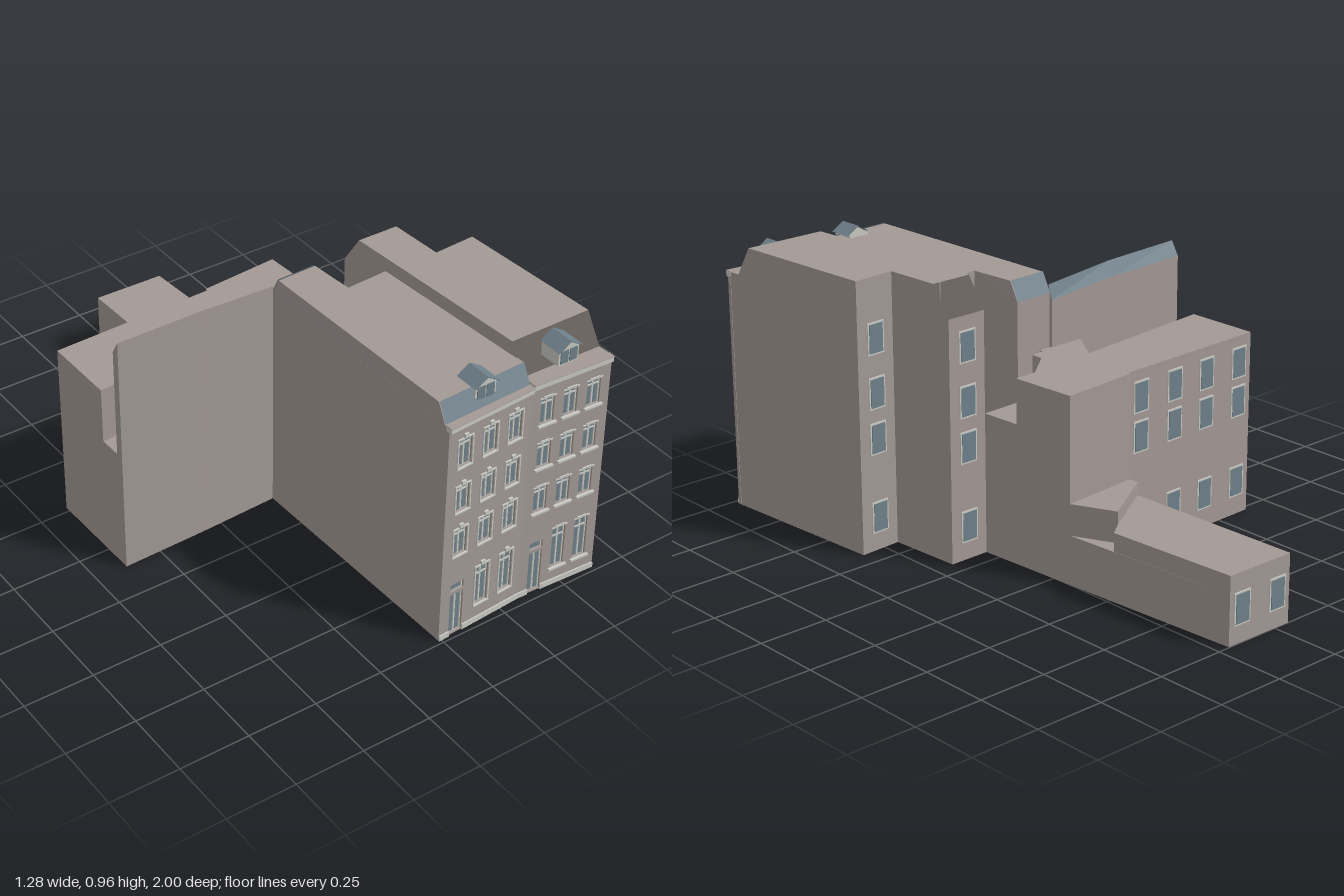
import * as THREE from 'three';

export function createModel() {
  const mat = (name, color) => {
    const m = new THREE.MeshStandardMaterial({ color, side: THREE.DoubleSide });
    m.name = name;
    return m;
  };
  const wall = mat('brownWall', 0xa39995);
  const light = mat('paleStone', 0xc9cac3);
  const slate = mat('slateBlue', 0x6f808a);

  const root = new THREE.Group();
  root.name = 'townhouses';
  const add = (parent, name, geo, m) => {
    const mesh = new THREE.Mesh(geo, m);
    mesh.name = name;
    parent.add(mesh);
    return mesh;
  };
  const section = (name) => {
    const g = new THREE.Group();
    g.name = name;
    root.add(g);
    return g;
  };
  const box = (p, name, x0, x1, y0, y1, z0, z1, m) =>
    add(p, name, new THREE.BoxGeometry(x1 - x0, y1 - y0, z1 - z0)
      .translate((x0 + x1) / 2, (y0 + y1) / 2, (z0 + z1) / 2), m);
  // footprints are lists of [x, z]
  const plan = (pts) => new THREE.Shape(pts.map(([x, z]) => new THREE.Vector2(x, -z)));
  const prism = (p, name, pts, y0, y1) =>
    add(p, name, new THREE.ExtrudeGeometry(plan(pts), { depth: y1 - y0, bevelEnabled: false })
      .rotateX(-Math.PI / 2).translate(0, y0, 0), wall);
  const flat = (p, name, pts, y) =>
    add(p, name, new THREE.ShapeGeometry(plan(pts)).rotateX(-Math.PI / 2).translate(0, y, 0), wall);
  // convex flat face through 3D corners
  const face = (p, name, pts, m = wall) => {
    const pos = [];
    for (let i = 1; i < pts.length - 1; i++) pos.push(...pts[0], ...pts[i], ...pts[i + 1]);
    const g = new THREE.BufferGeometry();
    g.setAttribute('position', new THREE.Float32BufferAttribute(pos, 3));
    g.computeVertexNormals();
    return add(p, name, g, m);
  };

  // left house: body and roof with slate slopes
  const lh = section('leftHouse');
  prism(lh, 'leftBody', [[-0.01, 0.97], [0.33, 0.948], [0.29, 0.265], [0.13, 0.275], [0.117, 0.075], [-0.03, 0.08]], 0, 0.845);
  const roof = prism(lh, 'leftRoof', [[-0.01, 0.962], [0.33, 0.945], [0.29, 0.265], [0.13, 0.275], [0.117, 0.075], [-0.03, 0.08]], 0.845, 0.91);
  const rp = roof.geometry.attributes.position;
  for (let i = 0; i < rp.count; i++) {
    if (rp.getY(i) < 0.9) continue;
    const z = rp.getZ(i);
    if (z > 0.9) rp.setZ(i, z - 0.035);
    if (z < 0.1) rp.setZ(i, z + 0.035);
  }
  roof.geometry.computeVertexNormals();
  face(lh, 'frontSlate', [[-0.01, 0.847, 0.965], [0.33, 0.847, 0.948], [0.33, 0.912, 0.913], [-0.01, 0.912, 0.93]], slate);
  face(lh, 'backSlate', [[0.117, 0.845, 0.072], [-0.03, 0.845, 0.077], [-0.03, 0.912, 0.112], [0.117, 0.912, 0.107]], slate);

  // right house: shell with open roof slopes at front and back
  const rh = section('rightHouse');
  const partyX = (z) => 0.27 + 0.0625 * z;
  const sideX = (z) => 0.5755 + 0.061 * z;
  const annexX = (z) => 0.4217 + 0.0556 * z;
  const profile = (name, fx, pts) => face(rh, name, pts.map(([z, y]) => [fx(z), y, z]));
  profile('partyWall', partyX, [[0.06, 0], [0.948, 0], [0.948, 0.855], [0.915, 0.855], [0.86, 0.96], [0.13, 0.96], [0.06, 0.855]]);
  profile('sideWall', sideX, [[0.32, 0], [0.963, 0], [0.963, 0.855], [0.92, 0.855], [0.86, 0.96], [0.32, 0.96]]);
  profile('annexSide', annexX, [[0.33, 0], [0.33, 0.96], [0.13, 0.96], [0.06, 0.855], [0.06, 0]]);
  const upright = (name, [ax, az], [bx, bz], h) =>
    face(rh, name, [[ax, 0, az], [bx, 0, bz], [bx, h, bz], [ax, h, az]]);
  upright('backWall', [0.595, 0.32], [0.44, 0.33], 0.96);
  upright('annexBack', [0.425, 0.06], [0.274, 0.062], 0.855);
  upright('frontWall', [0.33, 0.948], [0.635, 0.963], 0.855);
  flat(rh, 'roofTop', [[partyX(0.86), 0.86], [sideX(0.86), 0.86], [0.595, 0.32], [0.44, 0.33], [0.429, 0.13], [0.278, 0.13]], 0.96);
  flat(rh, 'floor', [[0.33, 0.948], [0.635, 0.963], [0.595, 0.32], [0.44, 0.33], [0.425, 0.06], [0.274, 0.062]], 0);
  flat(rh, 'eavesLedge', [[0.33, 0.948], [0.634, 0.963], [sideX(0.92), 0.92], [partyX(0.915), 0.915]], 0.855);

  // glazed opening set back in the facade
  const opening = (p, x, w, y0, y1, bars, mid = true) => {
    const l = x - w / 2, r = x + w / 2, t = 0.004;
    box(p, 'pane', l, r, y0, y1, -0.014, -0.011, slate);
    for (const s of [l, r - t]) box(p, 'jamb', s, s + t, y0, y1, -0.013, -0.007, light);
    box(p, 'head', l, r, y1 - t, y1, -0.013, -0.007, light);
    if (mid) box(p, 'mullion', x - 0.003, x + 0.003, y0, y1, -0.013, -0.007, light);
    if (bars) box(p, 'transom', l, r, y0 + (y1 - y0) * 0.74, y0 + (y1 - y0) * 0.74 + 0.005, -0.013, -0.007, light);
  };

  const facade = (name, a, b, height, cornice, cols, w, rows, arched) => {
    const g = section(name);
    const dx = b[0] - a[0], dz = b[1] - a[1], L = Math.hypot(dx, dz);
    g.position.set(a[0], 0, a[1]);
    g.rotation.y = Math.atan2(-dz, dx);
    const s = new THREE.Shape([[0, 0], [L, 0], [L, height], [0, height]].map((v) => new THREE.Vector2(...v)));
    const hole = (x, y0, y1) => s.holes.push(new THREE.Path(
      [[-1, y0], [-1, y1], [1, y1], [1, y0]].map(([k, y]) => new THREE.Vector2(x + k * w / 2, y))));
    cols.forEach((x, c) => rows.forEach(([y0, y1], r) => {
      if (r === 0 && c === 0) {
        hole(x, 0.005, 0.165);
        opening(g, x, w, 0.005, 0.165, false);
        hole(x, 0.178, 0.208);
        opening(g, x, w, 0.178, 0.208, false, false);
        return;
      }
      hole(x, y0, y1);
      opening(g, x, w, y0, y1, true);
      const e = w / 2 + 0.005;
      if (arched) {
        // sill and stepped lintel
        box(g, 'sill', x - e - 0.004, x + e + 0.004, y0 - 0.007, y0, 0, 0.01, light);
        box(g, 'lintel', x - e, x + e, y1, y1 + 0.004, 0, 0.004, light);
        box(g, 'lintelCrown', x - e * 0.6, x + e * 0.6, y1 + 0.004, y1 + 0.008, 0, 0.004, light);
      } else {
        // surround and keystone
        for (const k of [-1, 1]) {
          const m = x + k * (w / 2 + 0.0025);
          box(g, 'surround', m - 0.0025, m + 0.0025, y0 - 0.005, y1 + 0.005, 0, 0.005, light);
        }
        box(g, 'surroundTop', x - e, x + e, y1, y1 + 0.005, 0, 0.005, light);
        box(g, 'surroundSill', x - e, x + e, y0 - 0.005, y0, 0, 0.007, light);
        box(g, 'keystone', x - 0.008, x + 0.008, y1 + 0.004, y1 + 0.019, 0, 0.008, light);
      }
    }));
    add(g, 'facadeWall', new THREE.ExtrudeGeometry(s, { depth: 0.015, bevelEnabled: false }).translate(0, 0, -0.015), wall);
    // plinth broken by the door
    box(g, 'plinth', 0, cols[0] - w / 2, 0, 0.02, 0, 0.005, light);
    box(g, 'plinth', cols[0] + w / 2, L, 0, 0.02, 0, 0.005, light);
    // cornice
    box(g, 'cornice', 0, L, height, cornice - 0.002, -0.015, 0.01, light);
    box(g, 'corniceTop', 0, L, cornice - 0.002, cornice, -0.015, 0.012, wall);
  };
  facade('leftFacade', [-0.01, 0.985], [0.33, 0.963], 0.828, 0.847, [0.068, 0.172, 0.275], 0.055,
    [[0.075, 0.23], [0.325, 0.43], [0.5, 0.6], [0.675, 0.78]], false);
  facade('rightFacade', [0.33, 0.963], [0.635, 0.978], 0.835, 0.856, [0.063, 0.153, 0.243], 0.052,
    [[0.072, 0.235], [0.335, 0.435], [0.515, 0.612], [0.686, 0.785]], true);

  // dormers
  const dormer = (name, x, y) => {
    const g = section(name);
    g.position.set(x, y, 0.86);
    const s = new THREE.Shape([[-0.04, 0], [0.04, 0], [0.04, 0.055], [0, 0.08], [-0.04, 0.055]].map((v) => new THREE.Vector2(...v)));
    add(g, 'dormerBody', new THREE.ExtrudeGeometry(s, { depth: 0.082, bevelEnabled: false }), light);
    for (const k of [-1, 1]) {
      face(g, 'dormerRoof', [[0, 0.085, 0], [k * 0.048, 0.055, 0], [k * 0.048, 0.055, 0.09], [0, 0.085, 0.09]], slate);
      face(g, 'dormerEave', [[0, 0.085, 0.09], [k * 0.048, 0.055, 0.09], [k * 0.048, 0.051, 0.09], [0, 0.081, 0.09]], slate);
      box(g, 'dormerPane', k * 0.018 - 0.015, k * 0.018 + 0.015, 0.006, 0.052, 0.082, 0.085, slate);
    }
  };
  dormer('leftDormer', 0.158, 0.862);
  dormer('rightDormer', 0.485, 0.864);

  // boundary wall with slate coping slope
  const bw = section('boundaryWall');
  const st = [[-0.635, 0.11, 0.08, 0.9], [-0.32, 0.1, 0.075, 0.893], [-0.03, 0.085, 0.068, 0.872]]
    .map(([x, zf, zb, h]) => [[x, 0, zf], [x, h, zf], [x, h - 0.05, zb], [x, 0, zb]]);
  for (let i = 0; i < 2; i++) for (let k = 0; k < 3; k++)
    face(bw, ['wallFront', 'wallSlate', 'wallBack'][k], [st[i][k], st[i + 1][k], st[i + 1][k + 1], st[i][k + 1]], k === 1 ? slate : wall);
  face(bw, 'wallEnd', st[0]);
  face(bw, 'wallEnd', st[2]);

  // rear wing with sunken terraces
  const wing = section('rearWing');
  prism(wing, 'wingBase', [[-0.64, -0.27], [-0.04, -0.29], [-0.04, -0.3], [0.25, -0.325], [0.274, 0.062], [-0.03, 0.075], [-0.635, 0.085]], 0, 0.45);
  prism(wing, 'wingUpper', [[-0.64, -0.27], [-0.04, -0.29], [-0.04, -0.3], [0.25, -0.325], [0.265, -0.085], [0.18, -0.08], [0.07, 0.01],
    [0.07, 0.055], [0.02, 0.06], [0.02, 0.074], [-0.165, 0.074], [-0.08, -0.06], [-0.638, 0]], 0.45, 0.655);
  prism(wing, 'terrace', [[0.265, -0.085], [0.274, 0.062], [0.02, 0.07], [0.07, 0.01], [0.18, -0.08]], 0.45, 0.497);

  // low outbuilding
  const low = section('outbuilding');
  prism(low, 'lowBase', [[-0.06, -1], [0.205, -0.997], [0.25, -0.325], [-0.04, -0.3]], 0, 0.175);
  prism(low, 'lowUpper', [[-0.06, -1], [0.205, -0.997], [0.236, -0.515], [0.18, -0.475], [0.25, -0.325], [-0.04, -0.3]], 0.175, 0.24);
  prism(low, 'lowRaised', [[-0.045, -0.335], [-0.04, -0.3], [0.25, -0.325], [0.18, -0.475]], 0.24, 0.285);

  // rear windows along walls running from a (+x end) to b
  const rearWindows = (name, a, b, ts, ys) => {
    const g = section(name);
    const dx = b[0] - a[0], dz = b[1] - a[1];
    for (const t of ts) for (const y of ys) {
      const w = new THREE.Group();
      w.name = 'rearWindow';
      w.position.set(a[0] + dx * t, y, a[1] + dz * t);
      w.rotation.y = Math.atan2(-dz, dx);
      box(w, 'windowFrame', -0.035, 0.035, -0.056, 0.056, 0, 0.004, light);
      box(w, 'windowPane', -0.029, 0.029, -0.05, 0.05, 0.001, 0.006, slate);
      g.add(w);
    }
  };
  rearWindows('wingWindows', [-0.04, -0.29], [-0.64, -0.27], [0.1, 0.37, 0.63, 0.9], [0.125, 0.42, 0.56]);
  rearWindows('outbuildingWindows', [0.205, -0.997], [-0.06, -1], [0.2, 0.79], [0.12]);
  rearWindows('houseBackWindows', [0.595, 0.32], [0.44, 0.33], [0.5], [0.12, 0.4, 0.56, 0.75]);
  rearWindows('annexBackWindows', [0.425, 0.06], [0.274, 0.062], [0.5], [0.12, 0.4, 0.56, 0.75]);

  return root;
}
